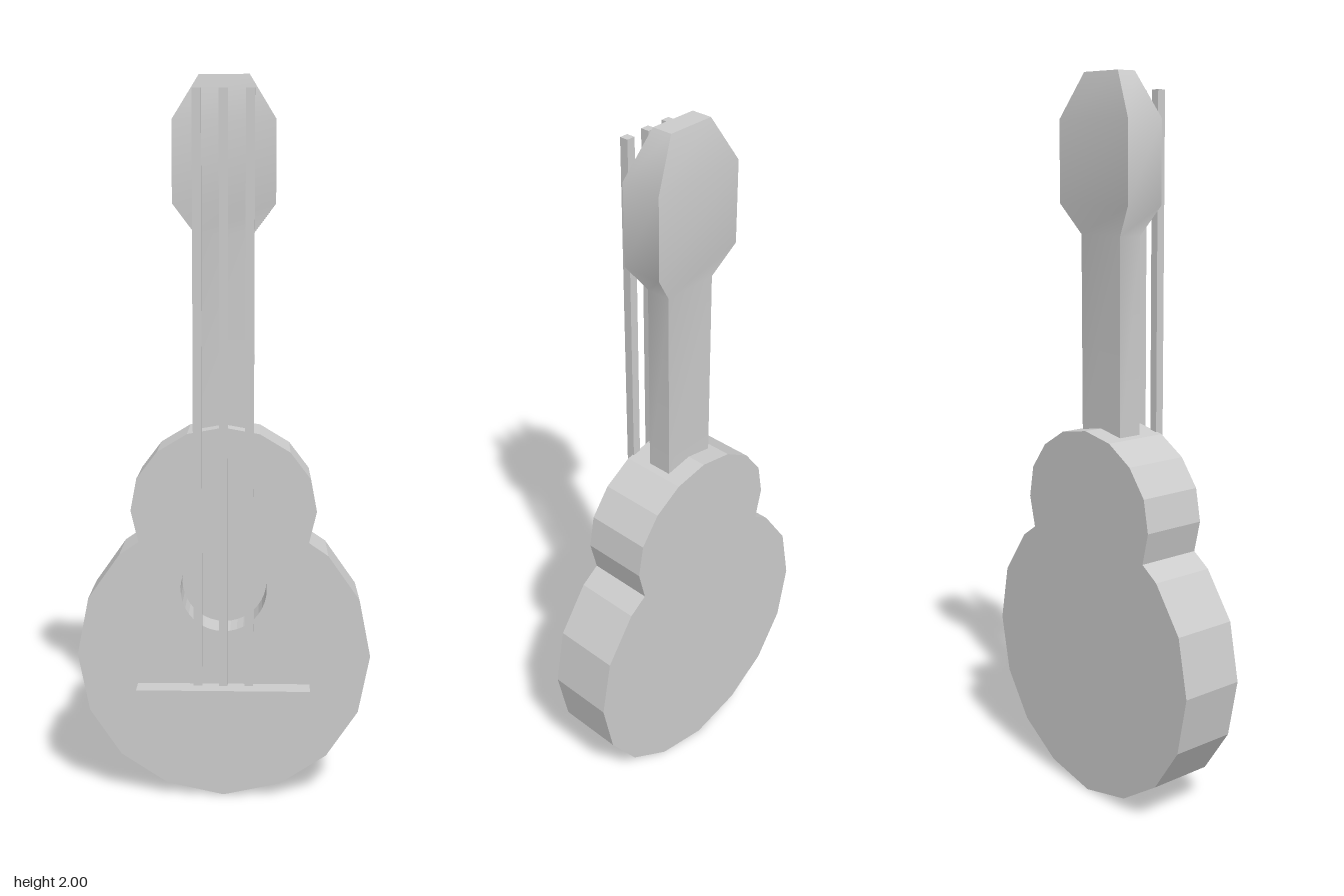
import * as THREE from 'three';

const material = new THREE.MeshStandardMaterial({ color: 0xcccccc });
const flatMaterial = new THREE.MeshStandardMaterial({ color: 0xcccccc, flatShading: true });

function add(group, name, geometry, mat = flatMaterial) {
  const mesh = new THREE.Mesh(geometry, mat);
  mesh.name = name;
  group.add(mesh);
  return mesh;
}

function box(group, name, x0, x1, y0, y1, z0, z1) {
  const mesh = add(group, name, new THREE.BoxGeometry(x1 - x0, y1 - y0, z1 - z0));
  mesh.position.set((x0 + x1) / 2, (y0 + y1) / 2, (z0 + z1) / 2);
}

// Figure-eight outline: right half from bottom to top, mirrored to the left
function bodyShape() {
  const half = [
    [0, 0], [0.16, 0.035], [0.29, 0.12], [0.378, 0.25], [0.41, 0.413], [0.378, 0.575], [0.29, 0.70],
    [0.236, 0.737], [0.257, 0.825], [0.24, 0.915], [0.183, 0.99], [0.1, 1.04], [0, 1.058],
  ];
  const mirrored = half.slice(1, -1).reverse().map(([x, y]) => [-x, y]);
  return new THREE.Shape([...half, ...mirrored].map(([x, y]) => new THREE.Vector2(x, y)));
}

function layer(shape, z0, z1) {
  const g = new THREE.ExtrudeGeometry(shape, { depth: z1 - z0, bevelEnabled: false, curveSegments: 20 });
  return g.translate(0, 0, z0);
}

// Rectangular sections [y, halfWidth, zBack, zFront]; smooth along y, sharp at the corners
function loft(sections) {
  const positions = [], index = [];
  const corners = ([y, w, b, f]) => [[-w, y, f], [w, y, f], [w, y, b], [-w, y, b]];
  for (let side = 0; side < 4; side++) {
    const base = positions.length / 3;
    sections.forEach((s, i) => {
      const c = corners(s);
      positions.push(...c[side], ...c[(side + 1) % 4]);
      if (i > 0) {
        const a = base + 2 * (i - 1);
        index.push(a, a + 1, a + 3, a, a + 3, a + 2);
      }
    });
  }
  // End caps
  const bottom = positions.length / 3;
  positions.push(...corners(sections[0]).flat(), ...corners(sections[sections.length - 1]).flat());
  const top = bottom + 4;
  index.push(bottom, bottom + 2, bottom + 1, bottom, bottom + 3, bottom + 2);
  index.push(top, top + 1, top + 2, top, top + 2, top + 3);
  const g = new THREE.BufferGeometry();
  g.setAttribute('position', new THREE.Float32BufferAttribute(positions, 3));
  g.setIndex(index);
  g.computeVertexNormals();
  return g;
}

export function createModel() {
  const group = new THREE.Group();
  group.name = 'guitar';

  // Body: a solid back layer, and a front layer pierced by the sound hole
  const front = bodyShape();
  front.holes.push(new THREE.Path().absarc(0, 0.603, 0.12, 0, Math.PI * 2, true));
  add(group, 'bodyBack', layer(bodyShape(), -0.125, -0.035));
  add(group, 'bodyFront', layer(front, -0.035, 0.0625));

  // Neck flaring into the headstock
  add(group, 'neckAndHead', loft([
    [1.02, 0.08, -0.07, 0],
    [1.58, 0.08, -0.07, 0],
    [1.66, 0.14, -0.095, 0.02],
    [1.88, 0.14, -0.095, 0.02],
    [2.0, 0.068, -0.067, -0.01],
  ]), material);

  // Bridge and the strings running up from it
  box(group, 'bridge', -0.241, 0.241, 0.245, 0.33, 0.06, 0.124);
  for (const x of [-0.071, 0, 0.071]) {
    box(group, 'string', x - 0.012, x + 0.012, 0.3, 1.955, 0.058, 0.082);
  }
  return group;
}
